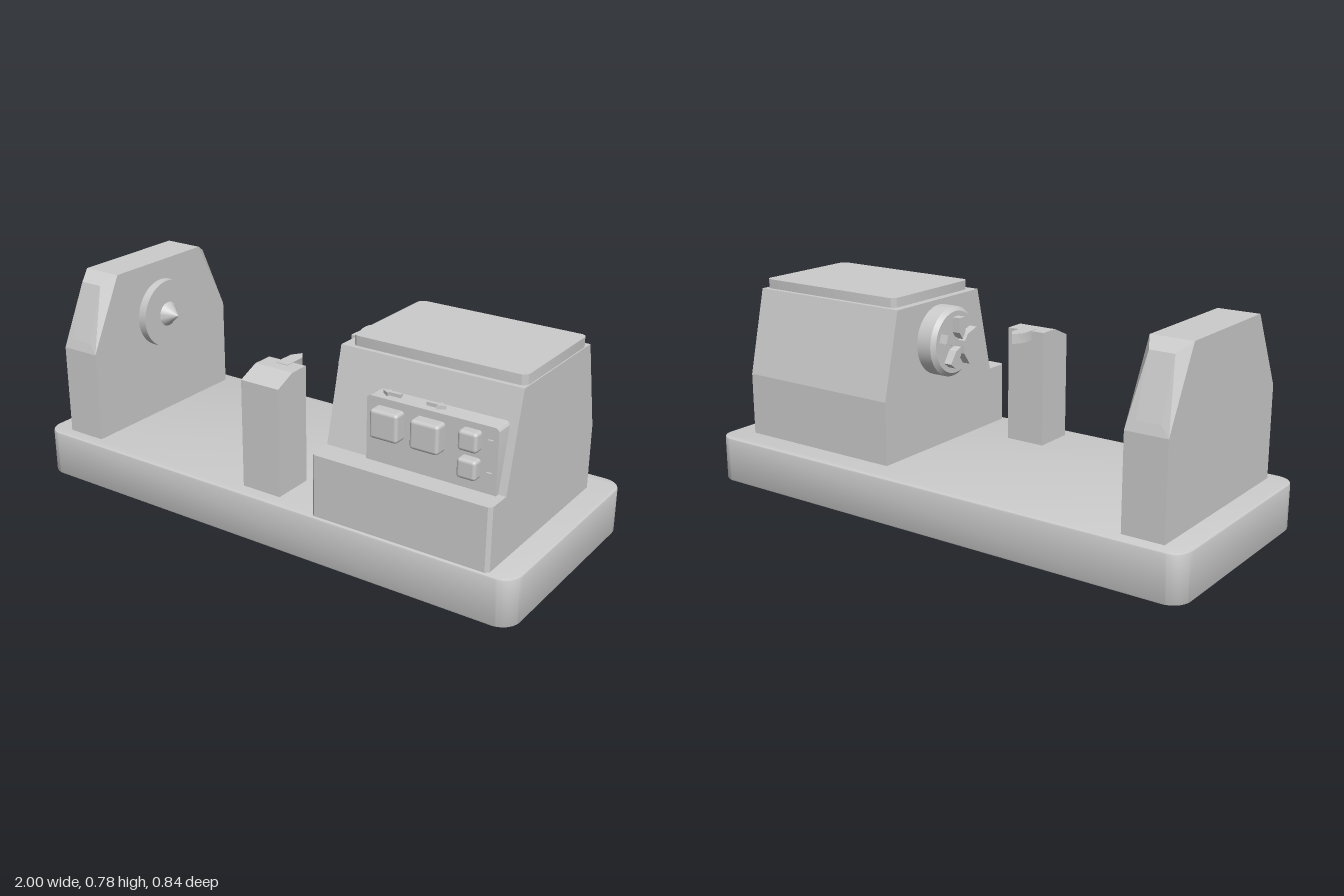
import * as THREE from 'three';
import { ConvexGeometry } from 'three/addons/geometries/ConvexGeometry.js';
import { RoundedBoxGeometry } from 'three/addons/geometries/RoundedBoxGeometry.js';
import { toCreasedNormals } from 'three/addons/utils/BufferGeometryUtils.js';

const material = new THREE.MeshStandardMaterial({ color: 0xcccccc });

function add(parent, name, geometry, x = 0, y = 0, z = 0) {
  const mesh = new THREE.Mesh(geometry, material);
  mesh.name = name;
  mesh.position.set(x, y, z);
  parent.add(mesh);
  return mesh;
}

const polygon = (points) => new THREE.Shape(points.map(([x, y]) => new THREE.Vector2(x, y)));

// Extrude a [z, y] profile from x0 to x1
function extrudeX(points, x0, x1) {
  const g = new THREE.ExtrudeGeometry(polygon(points), { depth: x1 - x0, bevelEnabled: false });
  return g.rotateY(-Math.PI / 2).translate(x1, 0, 0);
}

// Extrude an [x, -z] shape upward from y0 to y1, with an optional bevel
function extrudeY(shape, y0, y1, bevel = 0) {
  const g = new THREE.ExtrudeGeometry(shape, {
    depth: y1 - y0 - 2 * bevel, bevelEnabled: bevel > 0, bevelSize: bevel,
    bevelOffset: -bevel, bevelThickness: bevel, bevelSegments: 2, curveSegments: 8,
  });
  return toCreasedNormals(g.rotateX(-Math.PI / 2).translate(0, y0 + bevel, 0), 0.6);
}

// Rectangle with rounded corners, centred on the origin
function roundedRect(w, h, r) {
  const s = new THREE.Shape();
  const a = w / 2 - r, b = h / 2 - r;
  s.absarc(a, b, r, 0, Math.PI / 2);
  s.absarc(-a, b, r, Math.PI / 2, Math.PI);
  s.absarc(-a, -b, r, Math.PI, Math.PI * 1.5);
  s.absarc(a, -b, r, Math.PI * 1.5, Math.PI * 2);
  s.closePath();
  return s;
}

// Turned part along x: profile is [radius, x]
function turned(profile) {
  const g = new THREE.LatheGeometry(profile.map(([r, x]) => new THREE.Vector2(r, x)), 40);
  return toCreasedNormals(g.rotateZ(-Math.PI / 2), 0.5);
}

function createTailstock() {
  const group = new THREE.Group();
  group.name = 'tailstock';
  // Upright slab whose sloping shoulders are chamfered
  const points = [];
  for (const sx of [-1, 1]) for (const sz of [-1, 1]) {
    for (const [w, z, y] of [[0.077, 0.37, 0.16], [0.077, 0.37, 0.51], [0.077, 0.23, 0.782],
      [0.045, 0.36, 0.545], [0.045, 0.29, 0.75]]) {
      points.push(new THREE.Vector3(sx * w, y, sz * z));
    }
  }
  const slab = new ConvexGeometry(points);
  add(group, 'tailstockBody', slab, -0.835);
  add(group, 'tailstockDisc', turned([[0, -0.02], [0.13, -0.02], [0.13, 0.035], [0, 0.035]]), -0.76, 0.578);
  add(group, 'centrePoint', turned([[0.048, 0], [0, 0.052]]), -0.726, 0.575);
  return group;
}

function createToolRest() {
  const group = new THREE.Group();
  group.name = 'toolRest';
  add(group, 'toolPost', extrudeX(
    [[0.365, 0.16], [0.365, 0.57], [0.285, 0.605], [0.207, 0.605], [0.207, 0.16]], -0.078, 0.078));
  const tip = polygon([[-0.025, -0.24], [0.025, -0.24], [0.025, -0.155], [0, -0.118], [-0.025, -0.155]]);
  add(group, 'cuttingTool', extrudeY(tip, 0.57, 0.607));
  return group;
}

function createChuck() {
  const group = new THREE.Group();
  group.name = 'chuck';
  group.position.set(0.25, 0.578, 0);
  add(group, 'chuckDisc', turned([[0, -0.083], [0.115, -0.083], [0.13, -0.068], [0.13, 0], [0, 0]]));
  // Radial jaws with pointed inner ends
  const jaw = polygon([[0.015, 0], [0.04, -0.017], [0.095, -0.017], [0.095, 0.017], [0.04, 0.017]]);
  const jawGeometry = new THREE.ExtrudeGeometry(jaw, { depth: 0.035, bevelEnabled: false });
  jawGeometry.rotateY(-Math.PI / 2);
  for (let i = 0; i < 5; i++) {
    const m = add(group, 'chuckJaw', jawGeometry, -0.08);
    m.rotation.x = -Math.PI / 2 + (i * Math.PI * 2) / 5;
  }
  return group;
}

function createControlPanel() {
  const group = new THREE.Group();
  group.name = 'controlPanel';
  // Upright panel with rounded upper corners
  const [x0, x1, y0, y1, r] = [0.407, 0.88, 0.39, 0.622, 0.015];
  const s = new THREE.Shape();
  s.moveTo(x0, y0);
  s.lineTo(x1, y0);
  s.absarc(x1 - r, y1 - r, r, 0, Math.PI / 2);
  s.absarc(x0 + r, y1 - r, r, Math.PI / 2, Math.PI);
  s.closePath();
  const plate = new THREE.ExtrudeGeometry(s, { depth: 0.1, bevelEnabled: false, curveSegments: 5 });
  add(group, 'panelPlate', toCreasedNormals(plate, 0.5), 0, 0, 0.23);
  // Push buttons: centre x, centre y, width, height, front z
  for (const [x, y, w, h, z] of [[0.495, 0.546, 0.104, 0.1, 0.375], [0.643, 0.546, 0.104, 0.1, 0.375],
    [0.789, 0.567, 0.068, 0.068, 0.365], [0.789, 0.474, 0.068, 0.068, 0.365]]) {
    add(group, 'button', new RoundedBoxGeometry(w, h, z - 0.305, 2, 0.012), x, y, (z + 0.305) / 2);
  }
  // Raised arrow markers on the top edge and beside the small buttons
  const arrow = (k) => polygon([[-0.035, 0], [-0.01, 0.017], [-0.01, 0.007], [0.032, 0.007],
    [0.032, -0.007], [-0.01, -0.007], [-0.01, -0.017]].map(([x, y]) => [x * k, y * Math.abs(k)]));
  add(group, 'directionMarker', extrudeY(arrow(1), 0.615, 0.634), 0.48, 0, 0.292);
  add(group, 'directionMarker', extrudeY(arrow(-1), 0.615, 0.634), 0.64, 0, 0.292);
  const small = new THREE.ExtrudeGeometry(arrow(0.4), { depth: 0.012, bevelEnabled: false });
  for (const y of [0.577, 0.468]) add(group, 'buttonMarker', small, 0.85, y, 0.325);
  return group;
}

function createHeadstock() {
  const group = new THREE.Group();
  group.name = 'headstock';
  add(group, 'headstockBody', extrudeX(
    [[0.315, 0.16], [0.315, 0.395], [0.235, 0.727], [-0.235, 0.727], [-0.312, 0.408], [-0.312, 0.16]],
    0.242, 0.908));
  // Front step with chamfered vertical edges
  const step = polygon([[0.242, -0.28], [0.242, -0.397], [0.254, -0.409],
    [0.896, -0.409], [0.908, -0.397], [0.908, -0.28]]);
  add(group, 'frontStep', extrudeY(step, 0.16, 0.397));
  add(group, 'lid', extrudeY(roundedRect(0.632, 0.435, 0.025), 0.715, 0.762), 0.588, 0, 0);
  group.add(createControlPanel(), createChuck());
  return group;
}

export function createModel() {
  const model = new THREE.Group();
  model.name = 'lathe';
  add(model, 'base', extrudeY(roundedRect(2, 0.84, 0.07), 0, 0.172, 0.006));
  model.add(createTailstock(), createToolRest(), createHeadstock());
  return model;
}
